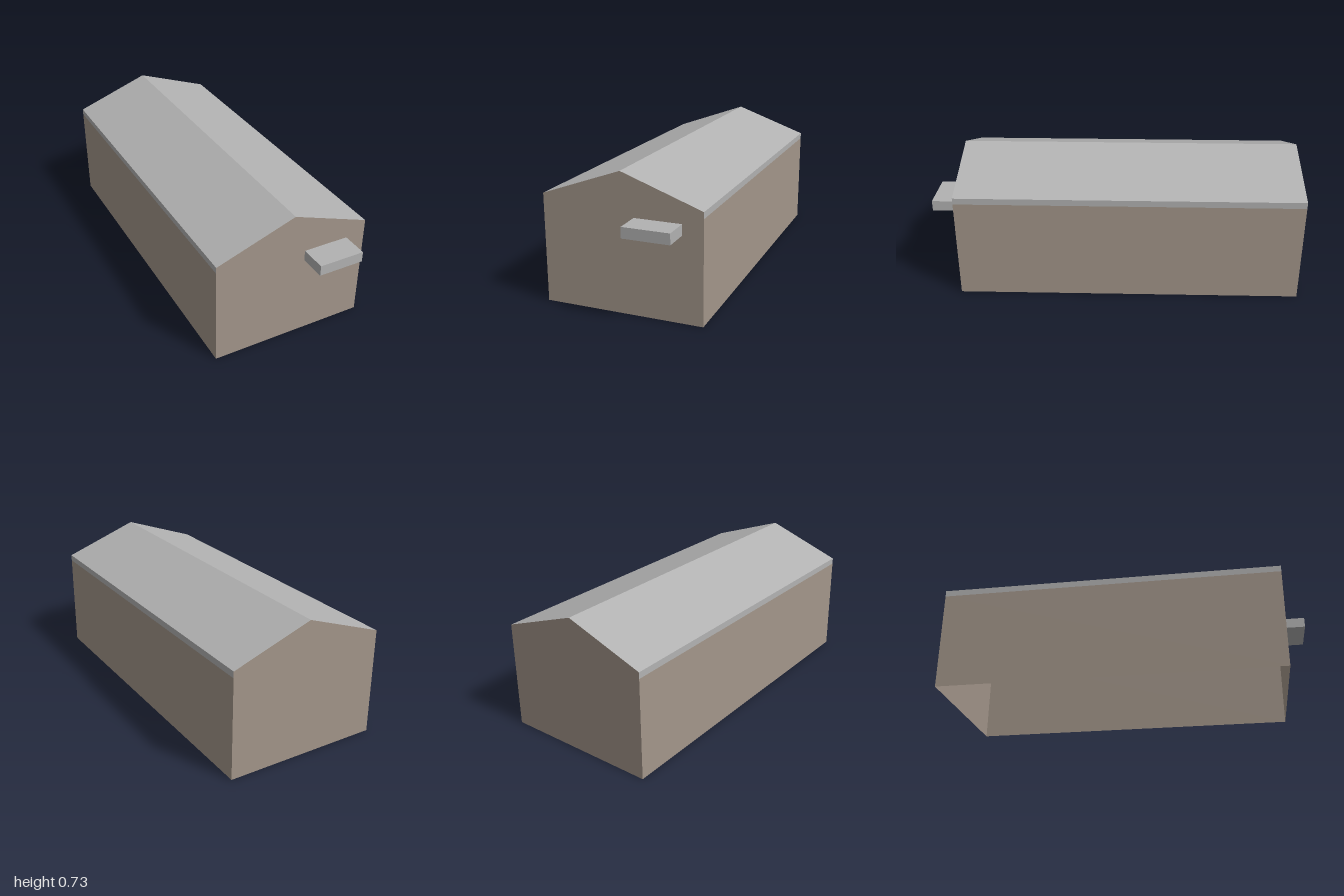
import * as THREE from 'three';

export function createModel() {
  const wall = new THREE.MeshStandardMaterial({ name: 'brownWall', color: 0xa3968a, side: THREE.DoubleSide });
  const metal = new THREE.MeshStandardMaterial({ name: 'greyMetal', color: 0xb2b2b2, side: THREE.DoubleSide });

  const W = 0.426, EAVE = 0.579, RIDGE = 0.732, BAND = 0.545, FRONT = 0.86, BACK = -1;
  const group = new THREE.Group();
  group.name = 'shed';

  const add = (name, geometry, material) => {
    const mesh = new THREE.Mesh(geometry, material);
    mesh.name = name;
    group.add(mesh);
    return mesh;
  };

  // Flat strip running the length of the shed between two profile points
  const strip = (x0, y0, x1, y1) => {
    const g = new THREE.BufferGeometry();
    g.setAttribute('position', new THREE.Float32BufferAttribute([
      x0, y0, FRONT, x0, y0, BACK, x1, y1, BACK, x1, y1, FRONT], 3));
    g.setIndex([0, 1, 2, 0, 2, 3]);
    if (x0 < 0) g.setIndex([0, 2, 1, 0, 3, 2]);
    g.computeVertexNormals();
    return g;
  };

  // Side walls, eave bands and roof slopes, mirrored; the underside stays open
  for (const [side, s] of [['left', 1], ['right', -1]]) {
    add(side + 'Wall', strip(s * W, 0, s * W, BAND), wall);
    add(side + 'EaveBand', strip(s * W, BAND, s * W, EAVE), metal);
    add(side + 'RoofSlope', strip(s * W, EAVE, 0, RIDGE), metal);
  }

  // Gable ends
  const gable = new THREE.ShapeGeometry(new THREE.Shape([
    [-W, 0], [W, 0], [W, EAVE], [0, RIDGE], [-W, EAVE]].map(p => new THREE.Vector2(...p))));
  add('frontGable', gable, wall).position.z = FRONT;
  const back = add('backGable', gable, wall);
  back.position.z = BACK;
  back.rotation.y = Math.PI;

  // Canopy on the front gable
  add('canopy', new THREE.BoxGeometry(0.248, 0.057, 1 - FRONT), metal)
    .position.set(0.193, 0.479, (1 + FRONT) / 2);

  return group;
}
